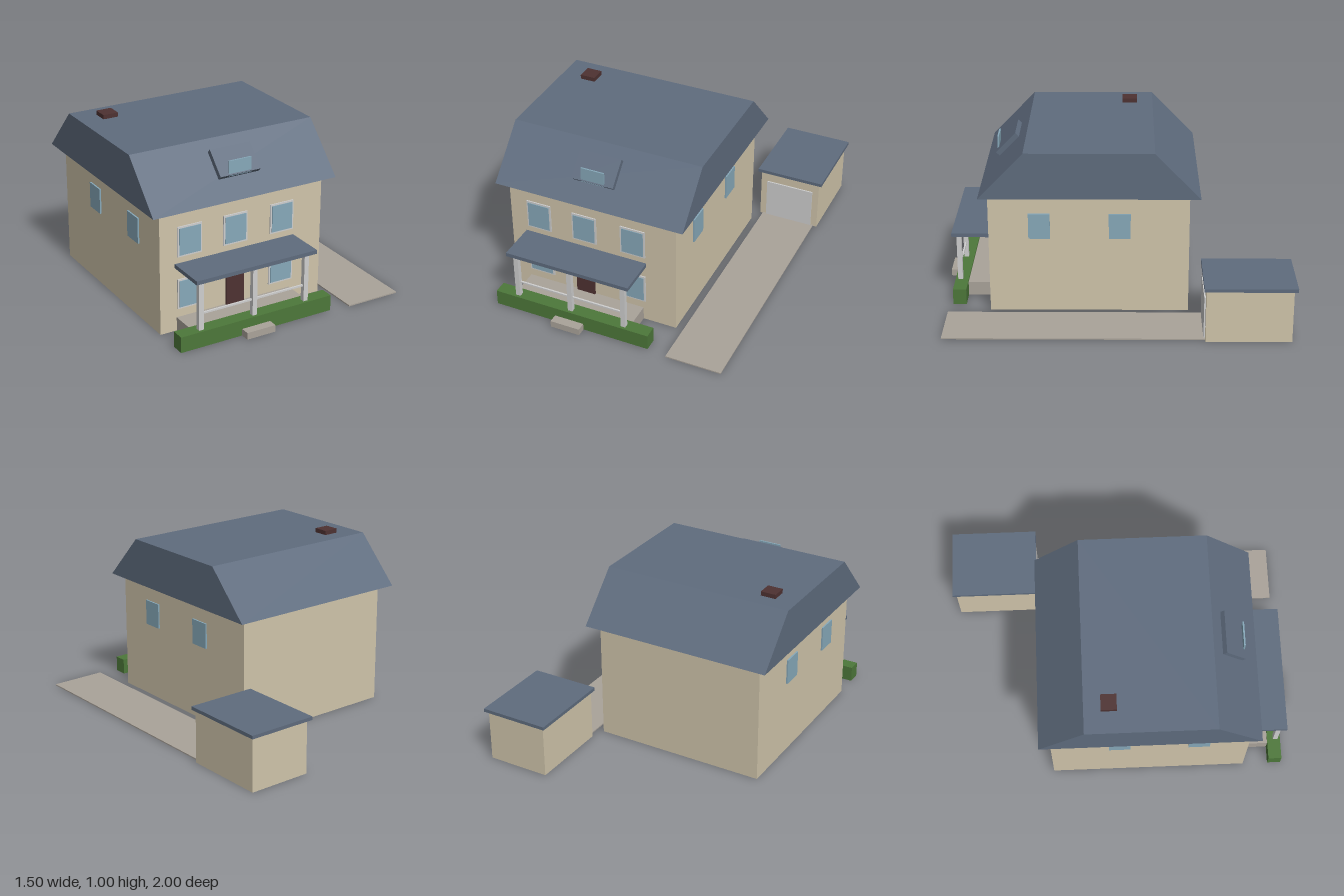
import * as THREE from 'three';

const mat = (name, color) => {
  const m = new THREE.MeshStandardMaterial({ color });
  m.name = name;
  return m;
};

export function createModel() {
  const wall = mat('wall beige', 0xd0c5ab);
  const slate = mat('roof slate', 0x5f6c7e);
  const glass = mat('window glass', 0x87a9ba);
  const trim = mat('trim pale grey', 0xcfcfcf);
  const brown = mat('door dark brown', 0x4e3232);
  const stone = mat('paving stone', 0xaaa39a);
  const green = mat('hedge green', 0x4d783a);

  const model = new THREE.Group();
  model.name = 'houseWithGarage';

  // Box given by its extents along each axis
  const box = (name, material, [x0, x1], [y0, y1], [z0, z1], parent = model) => {
    const mesh = new THREE.Mesh(new THREE.BoxGeometry(x1 - x0, y1 - y0, z1 - z0), material);
    mesh.position.set((x0 + x1) / 2, (y0 + y1) / 2, (z0 + z1) / 2);
    mesh.name = name;
    parent.add(mesh);
    return mesh;
  };
  const group = (name) => {
    const g = new THREE.Group();
    g.name = name;
    model.add(g);
    return g;
  };

  // House body
  box('houseWalls', wall, [-0.69, 0.33], [0, 0.71], [-0.42, 0.72]);

  // Main roof: trapezoid section in z/y, extruded along x
  const section = new THREE.Shape([
    new THREE.Vector2(-0.77, 0.71), new THREE.Vector2(0.48, 0.71),
    new THREE.Vector2(0.22, 0.98), new THREE.Vector2(-0.51, 0.98),
  ]);
  const roofGeometry = new THREE.ExtrudeGeometry(section, { depth: 1.14, bevelEnabled: false });
  roofGeometry.rotateY(Math.PI / 2).translate(-0.75, 0, 0);
  const roof = new THREE.Mesh(roofGeometry, slate);
  roof.name = 'mainRoof';
  model.add(roof);

  box('chimney', brown, [-0.625, -0.535], [0.95, 1.005], [-0.125, -0.037]);

  // Dormer: slab lying on the front slope with an upright pane
  const dormer = group('dormer');
  const slab = new THREE.Mesh(new THREE.BoxGeometry(0.25, 0.165, 0.03), slate);
  slab.name = 'dormerSlab';
  slab.position.set(-0.18, 0.877, 0.63);
  slab.rotation.x = -Math.atan2(0.26, 0.27);
  dormer.add(slab);
  box('dormerPane', glass, [-0.25, -0.11], [0.82, 0.907], [0.684, 0.693], dormer);

  // Front windows: pale frame with a pane slightly proud of it
  const windows = group('windows');
  const frontWindow = (x, y, w) => {
    const h = 0.155;
    box('windowFrame', trim, [x - w / 2 - 0.01, x + w / 2 + 0.01],
      [y - h / 2 - 0.01, y + h / 2 + 0.01], [0.715, 0.727], windows);
    box('windowPane', glass, [x - w / 2, x + w / 2],
      [y - h / 2, y + h / 2], [0.722, 0.731], windows);
  };
  for (const x of [-0.51, -0.227, 0.07]) frontWindow(x, 0.525, 0.13);
  for (const x of [-0.508, 0.068]) frontWindow(x, 0.218, 0.135);

  // Side windows on both gable walls
  for (const z of [[0.37, 0.493], [-0.087, 0.037]]) {
    box('sideWindowRight', glass, [0.33, 0.339], [0.45, 0.6], z, windows);
    box('sideWindowLeft', glass, [-0.699, -0.69], [0.45, 0.6], z, windows);
  }

  // Front door and small slanted handle
  box('frontDoor', brown, [-0.285, -0.172], [0.08, 0.32], [0.715, 0.731]);
  const handle = box('doorHandle', green, [-0.163, -0.157], [0.248, 0.276], [0.72, 0.73]);
  handle.rotation.z = 0.35;

  // Porch
  const porch = group('porch');
  box('porchFloor', stone, [-0.59, 0.13], [0, 0.08], [0.72, 0.94], porch);
  box('porchRoof', slate, [-0.6, 0.15], [0.377, 0.4], [0.72, 0.955], porch);
  for (const x of [-0.558, -0.226, 0.103])
    box('porchPost', trim, [x - 0.014, x + 0.014], [0.08, 0.378], [0.902, 0.93], porch);
  box('porchRail', trim, [-0.558, 0.103], [0.18, 0.19], [0.911, 0.921], porch);
  box('porchStep', stone, [-0.315, -0.137], [0, 0.04], [0.945, 1], porch);

  // Hedge along the front
  box('hedge', green, [-0.69, 0.26], [0, 0.092], [0.868, 0.946]);

  // Garage and driveway
  const garage = group('garage');
  box('garageWalls', wall, [0.357, 0.727], [0, 0.312], [-0.98, -0.5], garage);
  box('garageRoof', slate, [0.338, 0.745], [0.31, 0.33], [-1, -0.488], garage);
  box('garageDoor', trim, [0.397, 0.688], [0.005, 0.25], [-0.5, -0.491], garage);
  box('driveway', stone, [0.376, 0.705], [0, 0.007], [-0.5, 0.965]);

  return model;
}
